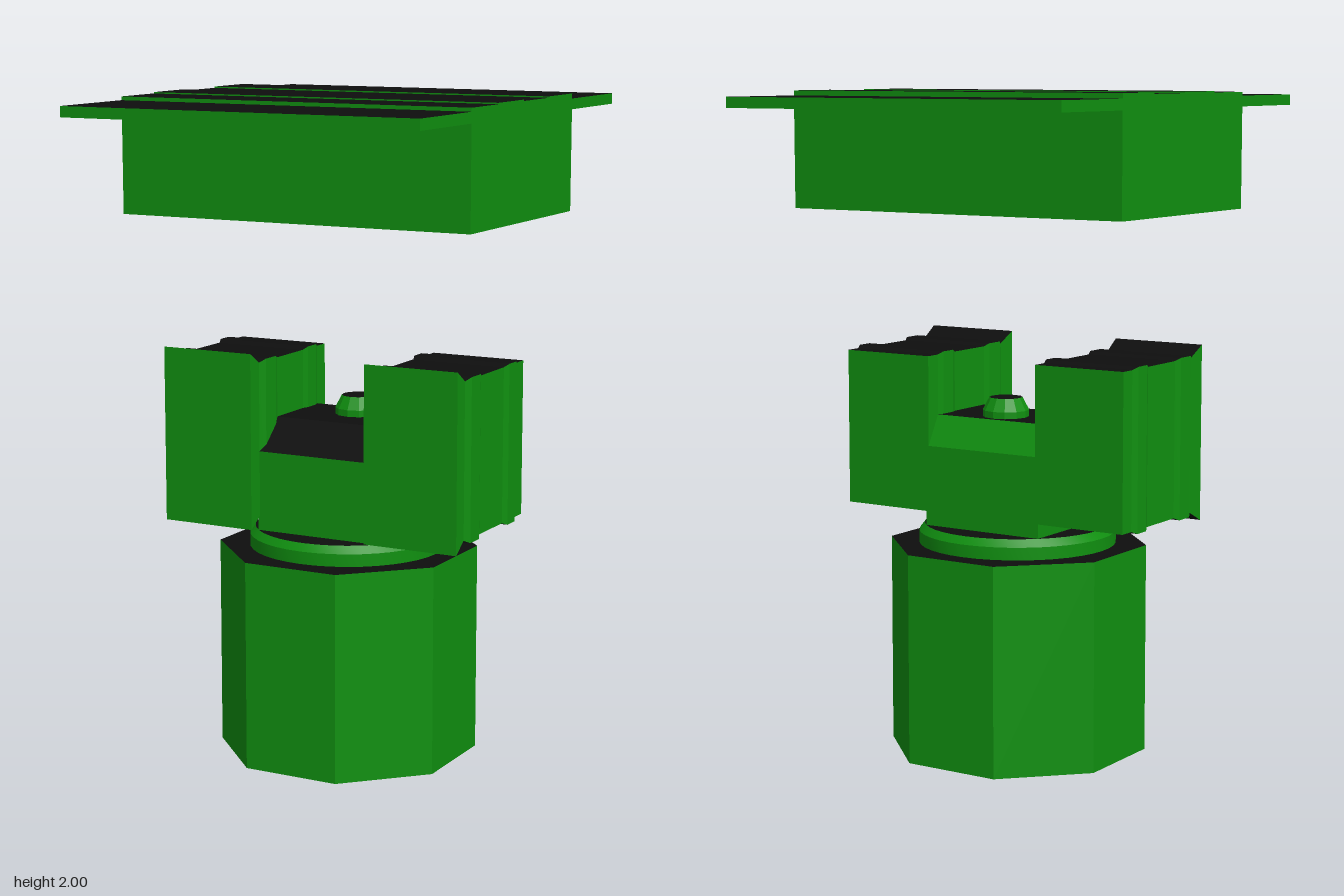
import * as THREE from 'three';
import { toCreasedNormals } from 'three/addons/utils/BufferGeometryUtils.js';

const green = new THREE.MeshStandardMaterial({ color: 0x109010, side: THREE.DoubleSide });
green.name = 'green sides';
const black = new THREE.MeshStandardMaterial({ color: 0x0e0e0e, side: THREE.DoubleSide });
black.name = 'black tops';

// Green on upright faces, black on faces that lie mostly flat.
function part(name, geometry) {
  const geo = toCreasedNormals(geometry, 0.25);
  geo.clearGroups();
  const pos = geo.attributes.position;
  const tri = new THREE.Triangle();
  const normal = new THREE.Vector3();
  for (let i = 0; i < pos.count; i += 3) {
    tri.setFromAttributeAndIndices(pos, i, i + 1, i + 2);
    tri.getNormal(normal);
    geo.addGroup(i, 3, Math.abs(normal.y) > 0.65 ? 1 : 0);
  }
  const mesh = new THREE.Mesh(geo, [green, black]);
  mesh.name = name;
  return mesh;
}

function box(name, w, y0, y1, z0, z1) {
  const mesh = part(name, new THREE.BoxGeometry(w, y1 - y0, z1 - z0));
  mesh.position.set(0, (y0 + y1) / 2, (z0 + z1) / 2);
  return mesh;
}

function lathe(name, points, segments) {
  return part(name, new THREE.LatheGeometry(points.map(p => new THREE.Vector2(...p)), segments));
}

// Ribbed block made of rectangular sections [z, inner x, outer x, bottom, top]
function armGeometry(side) {
  const sections = [
    [0.26, 0.19, 0.49, 0.71, 1.245],
    [0.20, 0.195, 0.485, 0.742, 1.21],
    [0.18, 0.183, 0.497, 0.732, 1.22],
    [0.12, 0.183, 0.497, 0.732, 1.22],
    [0.10, 0.19, 0.488, 0.74, 1.212],
    [-0.06, 0.19, 0.488, 0.74, 1.212],
    [-0.08, 0.183, 0.497, 0.732, 1.22],
    [-0.13, 0.183, 0.497, 0.732, 1.22],
    [-0.15, 0.19, 0.488, 0.74, 1.212],
    [-0.20, 0.19, 0.488, 0.74, 1.212],
  ];
  const verts = [];
  const index = [];
  const quad = (a, b, c, d) => {
    if (side > 0) index.push(a, b, c, a, c, d);
    else index.push(a, c, b, a, d, c);
  };
  sections.forEach(([z, xi, xo, y0, y1], i) => {
    for (const [x, y] of [[xi, y0], [xo, y0], [xo, y1], [xi, y1]]) verts.push(x * side, y, z);
    if (i === 0) return;
    const a = (i - 1) * 4;
    const b = i * 4;
    for (let k = 0; k < 4; k++) {
      const n = (k + 1) % 4;
      quad(a + k, b + k, b + n, a + n);
    }
  });
  quad(0, 1, 2, 3);
  const e = (sections.length - 1) * 4;
  quad(e + 3, e + 2, e + 1, e);
  const geo = new THREE.BufferGeometry();
  geo.setAttribute('position', new THREE.Float32BufferAttribute(verts, 3));
  geo.setIndex(index);
  return geo;
}

export function createModel() {
  const model = new THREE.Group();
  model.name = 'pedestalClamp';

  // Octagonal base, open underneath, with a flat lid
  const r = 0.365 / Math.cos(Math.PI / 8);
  const wall = new THREE.CylinderGeometry(r, r, 0.637, 8, 1, true);
  wall.rotateY(Math.PI / 8).translate(0, 0.3185, 0);
  const lid = new THREE.CircleGeometry(r, 8);
  lid.rotateX(-Math.PI / 2).rotateY(Math.PI / 8).translate(0, 0.637, 0);
  model.add(part('baseWall', wall), part('baseLid', lid));

  // Round collar
  model.add(lathe('collar', [[0.3, 0.637], [0.3, 0.675], [0.283, 0.697], [0, 0.697]], 40));

  // Saddle block between the arms: side profile (z, y) swept along x
  const profile = [[0.2, 0.69], [0.2, 0.94], [0.1, 1.03], [-0.15, 1.03], [-0.2, 0.94], [-0.2, 0.69]];
  const shape = new THREE.Shape(profile.map(([z, y]) => new THREE.Vector2(-z, y)));
  const saddle = new THREE.ExtrudeGeometry(shape, { depth: 0.4, bevelEnabled: false });
  saddle.translate(0, 0, -0.2).rotateY(Math.PI / 2);
  model.add(part('saddle', saddle));

  // Knob on the saddle
  const knob = lathe('knob', [[0.07, 1.02], [0.07, 1.05], [0.05, 1.088], [0, 1.088]], 12);
  knob.position.z = -0.065;
  model.add(knob);

  // Mirrored arms
  model.add(part('leftArm', armGeometry(1)), part('rightArm', armGeometry(-1)));

  // Floating top: block, two wings and thin planks
  model.add(box('topBlock', 1.136, 1.65, 1.99, -0.35, 0.35));
  model.add(box('frontWing', 1.136, 1.953, 1.985, 0.35, 0.665));
  model.add(box('backWing', 1.136, 1.953, 1.985, -0.665, -0.35));
  for (let i = 0; i < 4; i++) {
    const z = -0.35 + i * 0.175;
    model.add(box('topPlank', 1.136, 1.99, i % 2 ? 1.996 : 2, z, z + 0.175));
  }
  return model;
}
